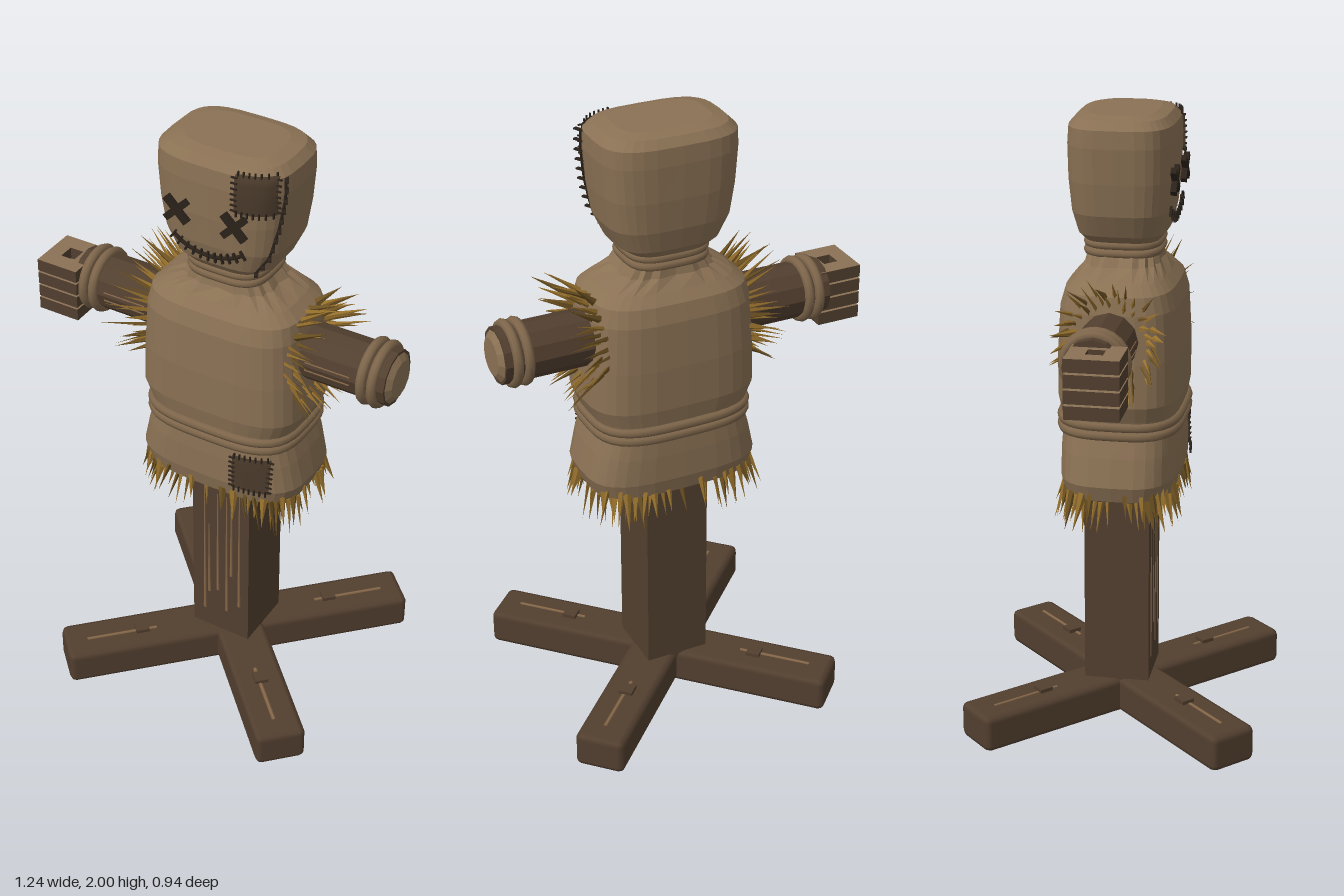
import * as THREE from 'three';
import { RoundedBoxGeometry } from 'three/addons/geometries/RoundedBoxGeometry.js';

const CX = 0.052, ARM_Y = 1.33, ARM_Z = -0.005, POW = 3.4;

const mat = (name, color, side = THREE.FrontSide) => {
  const m = new THREE.MeshStandardMaterial({ color, side });
  m.name = name;
  return m;
};

// Profiles: [height, half width, half depth, pleat depth]
const TORSO = [
  [0.795, 0.24, 0.15], [0.81, 0.272, 0.178], [0.86, 0.288, 0.188], [0.95, 0.268, 0.187], [1.03, 0.245, 0.182],
  [1.07, 0.258, 0.188], [1.12, 0.278, 0.196], [1.26, 0.274, 0.196], [1.41, 0.264, 0.188], [1.465, 0.252, 0.172],
  [1.495, 0.215, 0.145], [1.53, 0.15, 0.115, 0.04], [1.575, 0.118, 0.105, 0.04],
];
const HEAD = [
  [1.575, 0.115, 0.105], [1.60, 0.125, 0.115], [1.63, 0.165, 0.138], [1.70, 0.198, 0.155], [1.80, 0.213, 0.164],
  [1.91, 0.222, 0.166], [1.965, 0.22, 0.162], [1.99, 0.195, 0.14], [2.0, 0.15, 0.105],
];

const pw = (v) => Math.sign(v) * Math.abs(v) ** (2 / POW);
const section = (t, hx, hz, y) => new THREE.Vector3(hx * pw(Math.cos(t)), y, hz * pw(Math.sin(t)));

// Closed, faceted body through rounded-rectangle sections
function loft(levels, n = 32) {
  const pos = [], idx = [];
  for (const [y, hx, hz, pleat = 0] of levels)
    for (let j = 0; j < n; j++) {
      const k = 1 + pleat * (j % 2 ? 1 : -1);
      pos.push(...section((j / n) * Math.PI * 2, hx * k, hz * k, y).toArray());
    }
  const last = levels.length - 1, bottom = pos.length / 3, top = bottom + 1;
  pos.push(0, levels[0][0], 0, 0, levels[last][0], 0);
  for (let j = 0; j < n; j++) {
    const k = (j + 1) % n;
    for (let i = 0; i < last; i++) {
      const a = i * n + j, b = i * n + k;
      idx.push(a, a + n, b, b, a + n, b + n);
    }
    idx.push(bottom, j, k, top, last * n + k, last * n + j);
  }
  const g = new THREE.BufferGeometry();
  g.setAttribute('position', new THREE.Float32BufferAttribute(pos, 3));
  g.setIndex(idx);
  return flat(g);
}

function flat(g) {
  const f = g.index ? g.toNonIndexed() : g;
  f.computeVertexNormals();
  return f;
}

// Half sizes of a profile at a height, and points on its surface
function sizeAt(levels, y) {
  let i = 0;
  while (i < levels.length - 2 && levels[i + 1][0] < y) i++;
  const a = levels[i], b = levels[i + 1], f = (y - a[0]) / (b[0] - a[0]);
  return [a[1] + (b[1] - a[1]) * f, a[2] + (b[2] - a[2]) * f];
}
const curveAt = (r) => (1 - Math.min(Math.abs(r), 0.93) ** POW) ** (1 / POW);
const frontZ = (levels, x, y) => { const [hx, hz] = sizeAt(levels, y); return hz * curveAt((x - CX) / hx); };
const sideX = (levels, z, y) => { const [hx, hz] = sizeAt(levels, y); return CX + hx * curveAt(z / hz); };

export function createModel() {
  const model = new THREE.Group();
  const burlap = mat('burlap', 0x8a7154);
  const wood = mat('wood', 0x523f2f);
  const grain = mat('wood grain', 0x8c6c4c);
  const rope = mat('rope', 0x7d654a);
  const patch = mat('patch cloth', 0x4a3a2b, THREE.DoubleSide);
  const thread = mat('thread', 0x2b221a);
  const straw = mat('straw', 0x96702c);
  const darkStraw = mat('dark straw', 0x6f5322);

  let seed = 7;
  const rnd = (a = 0, b = 1) => { seed = (seed * 16807) % 2147483647; return a + (b - a) * (seed / 2147483647); };
  const add = (name, geo, m, x = 0, y = 0, z = 0, parent = model) => {
    const mesh = new THREE.Mesh(geo, m);
    mesh.name = name;
    mesh.position.set(x, y, z);
    parent.add(mesh);
    return mesh;
  };
  const box = (name, w, h, d, m, x, y, z, parent) => add(name, new THREE.BoxGeometry(w, h, d), m, x, y, z, parent);
  const group = (name) => { const g = new THREE.Group(); g.name = name; model.add(g); return g; };

  // Crossed feet with pegs and grain
  for (const turn of [1, -1]) {
    const foot = group('footBeam');
    foot.position.x = CX + 0.003;
    foot.rotation.y = turn * Math.PI / 4;
    add('beam', new RoundedBoxGeometry(1.19, 0.12, 0.165, 1, 0.02), wood, 0, 0.06, 0, foot);
    for (const s of [1, -1]) {
      box('peg', 0.045, 0.02, 0.045, wood, s * 0.33, 0.122, 0, foot);
      const line = add('grainLine', new THREE.CylinderGeometry(0.007, 0.007, 0.24, 4), grain, s * 0.4, 0.12, 0.005, foot);
      line.scale.x = 0.4;
      line.rotation.z = Math.PI / 2;
    }
  }

  // Post with grain on its front
  box('post', 0.212, 1.0, 0.212, wood, CX, 0.55, -0.012);
  [[-0.062, 0.5, 0.62], [-0.045, 0.42, 0.3], [-0.012, 0.5, 0.42], [0.022, 0.46, 0.5], [0.04, 0.55, 0.35], [0.07, 0.5, 0.5]]
    .forEach(([x, y, h]) => {
      const streak = add('postGrain', new THREE.CylinderGeometry(0.002, 0.006, h, 4), grain, CX + x, y, 0.094);
      streak.scale.z = 0.4;
    });

  // Cloth torso and head
  add('torso', loft(TORSO), burlap, CX);
  add('head', loft(HEAD), burlap, CX);

  // Rope loops at waist and neck
  const loop = (name, y, hx, hz, r) => {
    const pts = Array.from({ length: 28 }, (_, i) => section((i / 28) * Math.PI * 2, hx, hz, y));
    add(name, new THREE.TubeGeometry(new THREE.CatmullRomCurve3(pts, true), 56, r, 8, true), rope, CX);
  };
  [1.02, 1.05].forEach((y) => loop('waistRope', y, 0.252, 0.186, 0.016));
  [1.568, 1.594].forEach((y) => loop('neckRope', y, 0.123, 0.112, 0.013));

  // Arm beam, its end cap, wrist ropes and grain
  const arm = add('armBeam', flat(new THREE.CylinderGeometry(0.09, 0.09, 1.1, 12)), wood, CX, ARM_Y, ARM_Z);
  arm.rotation.z = Math.PI / 2;
  const cap = add('armEndCap', flat(new THREE.CylinderGeometry(0.06, 0.084, 0.016, 12)), burlap, 0.608, ARM_Y, ARM_Z);
  cap.rotation.z = -Math.PI / 2;
  for (const x of [-0.458, -0.422, 0.527, 0.563]) {
    const ring = add('wristRope', new THREE.TorusGeometry(0.092, 0.016, 8, 24), rope, x, ARM_Y, ARM_Z);
    ring.rotation.y = Math.PI / 2;
  }
  for (const s of [1, -1])
    for (const dy of [-0.016, 0.012])
      box('armGrain', 0.15, 0.004, 0.006, grain, CX + s * 0.36, ARM_Y + dy, ARM_Z + 0.085);

  // Slatted hand: four stacked plates with a square hole
  const plate = new THREE.Shape([[-0.62, -0.1], [-0.475, -0.1], [-0.475, 0.065], [-0.62, 0.065]].map((p) => new THREE.Vector2(...p)));
  plate.holes.push(new THREE.Path([[-0.568, -0.043], [-0.568, 0.01], [-0.52, 0.01], [-0.52, -0.043]].map((p) => new THREE.Vector2(...p))));
  const slat = new THREE.ExtrudeGeometry(plate, { depth: 0.041, bevelEnabled: false }).rotateX(-Math.PI / 2);
  for (let i = 0; i < 4; i++) add('handSlat', slat, [burlap, wood], 0, 1.214 + i * 0.0475, 0);

  // Straw tufts
  const UP = new THREE.Vector3(0, 1, 0);
  const blade = (parent, p, dir, len) => {
    const g = flat(new THREE.ConeGeometry(rnd(0.009, 0.015), len, 4).translate(0, len / 2, 0).scale(1, 1, 0.6));
    const m = add('strawBlade', g, rnd() < 0.7 ? straw : darkStraw, p.x, p.y, p.z, parent);
    m.quaternion.setFromUnitVectors(UP, dir.normalize());
  };
  const hem = group('hemStraw');
  for (let i = 0; i < 96; i++) {
    const t = ((i + rnd(-0.3, 0.3)) / 96) * Math.PI * 2, k = i % 2 ? 0.99 : 0.9;
    const p = section(t, 0.275 * k, 0.18 * k, rnd(0.805, 0.84));
    const dir = new THREE.Vector3(p.x * 0.9 + rnd(-0.15, 0.15), -1, p.z * 1.6 + rnd(-0.12, 0.12));
    p.x += CX;
    blade(hem, p, dir, rnd(0.07, 0.13));
  }
  for (const s of [1, -1]) {
    const cuff = group(s > 0 ? 'leftShoulderStraw' : 'rightShoulderStraw');
    for (let i = 0; i < 56; i++) {
      const t = ((i + rnd(-0.3, 0.3)) / 56) * Math.PI * 2, r = i % 2 ? 0.13 : 0.1;
      const c = Math.cos(t), n = Math.sin(t);
      const p = new THREE.Vector3(CX + s * rnd(0.22, 0.25), ARM_Y + r * c, ARM_Z + r * n);
      blade(cuff, p, new THREE.Vector3(s * rnd(0.8, 1.1), c * rnd(0.4, 0.9), n * rnd(0.3, 0.7)), rnd(0.08, 0.16));
    }
  }

  // Stitched cloth patches laid on the surface
  const sew = (name, levels, x0, x1, y0, y1) => {
    const g = group(name);
    const cloth = new THREE.PlaneGeometry(x1 - x0, y1 - y0, 8, 8).translate((x0 + x1) / 2, (y0 + y1) / 2, 0);
    const p = cloth.attributes.position;
    for (let i = 0; i < p.count; i++) p.setZ(i, frontZ(levels, p.getX(i), p.getY(i)) + 0.007);
    cloth.computeVertexNormals();
    add('cloth', cloth, patch, 0, 0, 0, g);
    for (let i = 0; i < 7; i++) {
      const f = (i + 0.5) / 7, x = x0 + (x1 - x0) * f, y = y0 + (y1 - y0) * f;
      for (const e of [y0, y1]) box('stitch', 0.004, 0.02, 0.006, thread, x, e, frontZ(levels, x, e) + 0.009, g);
      for (const e of [x0, x1]) box('stitch', 0.02, 0.004, 0.006, thread, e, y, frontZ(levels, e, y) + 0.009, g);
    }
  };
  sew('headPatch', HEAD, 0.14, 0.255, 1.85, 1.975);
  sew('skirtPatch', TORSO, 0.15, 0.27, 0.86, 0.985);

  // Crossed eyes
  for (const x of [-0.052, 0.142])
    for (const a of [1, -1]) {
      const bar = box('eyeStitch', 0.1, 0.021, 0.018, thread, x, 1.802, frontZ(HEAD, x, 1.802) + 0.01);
      bar.rotation.z = a * Math.PI / 4;
    }

  // Smile with cross stitches
  const smile = [], mouthY = (x) => 1.668 + 2.9 * (x - 0.048) ** 2;
  for (let i = 0; i <= 10; i++) {
    const x = -0.07 + i * 0.0236, y = mouthY(x), z = frontZ(HEAD, x, y) + 0.01;
    smile.push(new THREE.Vector3(x, y, z));
    const tick = box('mouthStitch', 0.006, 0.032, 0.008, thread, x, y, z + 0.003);
    tick.rotation.z = Math.atan(5.8 * (x - 0.048));
  }
  add('mouth', new THREE.TubeGeometry(new THREE.CatmullRomCurve3(smile), 30, 0.006, 6), thread);

  // Seam down the left side of the head
  const seam = [];
  for (let i = 0; i <= 10; i++) {
    const y = 1.63 + i * 0.033, z = 0.105 + 0.012 * Math.cos(i * 0.3), x = sideX(HEAD, z, y) + 0.004;
    seam.push(new THREE.Vector3(x, y, z));
    const tick = box('seamStitch', 0.012, 0.005, 0.04, thread, x + 0.002, y, z);
    tick.rotation.y = 0.5;
  }
  add('headSeam', new THREE.TubeGeometry(new THREE.CatmullRomCurve3(seam), 24, 0.004, 6), thread);

  return model;
}
